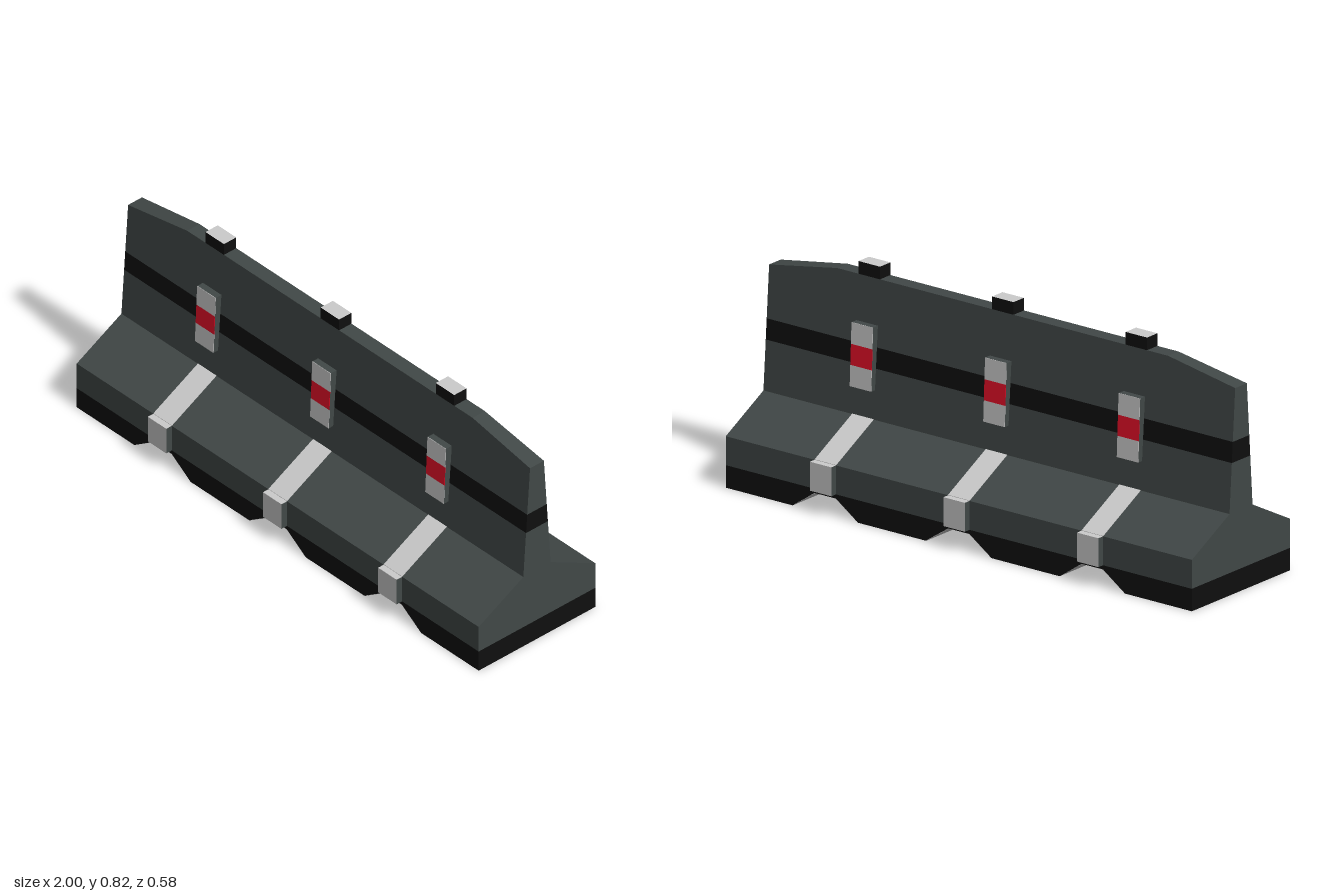
import * as THREE from 'three';

const mat = (color) => new THREE.MeshStandardMaterial({ color, flatShading: true });

// Closed solid through matching [z, y] cross-sections placed along x
function loft(stations) {
  const pos = [];
  const tri = (...pts) => pts.forEach((p) => pos.push(...p));
  const rings = stations.map(([x, pts]) => pts.map(([z, y]) => [x, y, z]));
  const n = rings[0].length;
  for (let s = 0; s < rings.length - 1; s++) {
    const a = rings[s], b = rings[s + 1];
    for (let i = 0; i < n; i++) {
      const j = (i + 1) % n;
      tri(a[i], b[j], b[i]);
      tri(a[i], a[j], b[j]);
    }
  }
  const first = rings[0], last = rings[rings.length - 1];
  for (let i = 1; i < n - 1; i++) {
    tri(last[0], last[i], last[i + 1]);
    tri(first[0], first[i + 1], first[i]);
  }
  const geo = new THREE.BufferGeometry();
  geo.setAttribute('position', new THREE.Float32BufferAttribute(pos, 3));
  geo.computeVertexNormals();
  return geo;
}

// Four-sided section: z range [back, front] at y0 and at y1
const section = (y0, b0, f0, y1, b1, f1) => [[f0, y0], [b0, y0], [b1, y1], [f1, y1]];
const trapezoid = (y0, h0, y1, h1) => section(y0, -h0, h0, y1, -h1, h1);
const bar = (x0, x1, pts) => loft([[x0, pts], [x1, pts]]);

export function createModel() {
  const model = new THREE.Group();
  model.name = 'barrier';
  const body = mat(0x414847), black = mat(0x0f0f0f), red = mat(0xe60f28), grey = mat(0xcccccc);
  const add = (parent, name, geo, material) => {
    const mesh = new THREE.Mesh(geo, material);
    mesh.name = name;
    parent.add(mesh);
    return mesh;
  };

  const centres = [-0.573, 0, 0.573];
  const HW = 0.046, BASE = 0.265, NOTCH = 0.065, SKIN = 0.0015;
  const wallHalf = (y) => 0.062 - (y - 0.29) * 0.0694;

  // Footing and tapering wall with a dark stripe all round
  add(model, 'footingSide', bar(-1, 1, trapezoid(0.08, BASE, 0.183, BASE)), body);
  add(model, 'footingSlope', bar(-1, 1, trapezoid(0.183, BASE, 0.29, 0.062)), body);
  const wall = (y0, y1) => trapezoid(y0, wallHalf(y0), y1, wallHalf(y1));
  add(model, 'lowerWall', bar(-1, 1, wall(0.29, 0.468)), body);
  add(model, 'stripe', bar(-1, 1, wall(0.468, 0.542)), black);
  const end = wall(0.542, 0.73), mid = wall(0.542, 0.78);
  add(model, 'upperWall', loft([[-1, end], [-0.71, mid], [0.71, mid], [1, end]]), body);

  // Black base with three bevelled notches underneath
  const outline = new THREE.Shape();
  outline.moveTo(-1, 0.08);
  outline.lineTo(-1, 0);
  for (const c of centres) {
    outline.lineTo(c - 0.14, 0);
    outline.lineTo(c - HW, NOTCH);
    outline.lineTo(c + HW, NOTCH);
    outline.lineTo(c + 0.14, 0);
  }
  outline.lineTo(1, 0);
  outline.lineTo(1, 0.08);
  const baseGeo = new THREE.ExtrudeGeometry(outline, { depth: BASE * 2, bevelEnabled: false });
  add(model, 'base', baseGeo.translate(0, 0, -BASE), black);

  // Pale bevels of the notches
  const skinAt = (y) => trapezoid(y - SKIN, BASE, y, BASE);
  for (const c of centres) {
    add(model, 'notchBevel', loft([[c - 0.14, skinAt(SKIN)], [c - HW, skinAt(NOTCH)]]), grey);
    add(model, 'notchBevel', loft([[c + HW, skinAt(NOTCH)], [c + 0.14, skinAt(SKIN)]]), grey);
  }

  // Top blocks: black sides, pale top
  for (const c of centres) {
    const geo = new THREE.BoxGeometry(HW * 2, 0.055, 0.056).translate(c, 0.7975, 0);
    add(model, 'topBlock', geo, [black, black, grey, black, black, black]);
  }

  // Straps of one face, repeated on the other
  const face = new THREE.Group();
  face.name = 'frontStraps';
  const outer = (y) => 0.0745 - (y - 0.393) * 0.0444;
  for (const c of centres) {
    const x0 = c - HW, x1 = c + HW;
    const clamp = new THREE.BoxGeometry(HW * 2, 0.103, 0.04).translate(c, 0.1315, 0.27);
    add(face, 'footingClamp', clamp, [body, body, grey, grey, grey, grey]);
    const slope = [[BASE, 0.183], [0.062, 0.29], [0.062, 0.29 + SKIN], [BASE, 0.183 + SKIN]];
    add(face, 'slopeStrap', bar(x0, x1, slope), grey);
    add(face, 'wallStrap', bar(x0, x1, section(0.393, 0.03, outer(0.393), 0.618, 0.03, outer(0.618))), body);
    for (const [y0, y1, m] of [[0.393, 0.468, grey], [0.468, 0.542, red], [0.542, 0.618, grey]]) {
      const pts = section(y0, outer(y0), outer(y0) + SKIN, y1, outer(y1), outer(y1) + SKIN);
      add(face, m === red ? 'redReflector' : 'strapFace', bar(x0, x1, pts), m);
    }
  }
  const back = face.clone();
  back.name = 'backStraps';
  back.rotation.y = Math.PI;
  model.add(face, back);
  return model;
}
